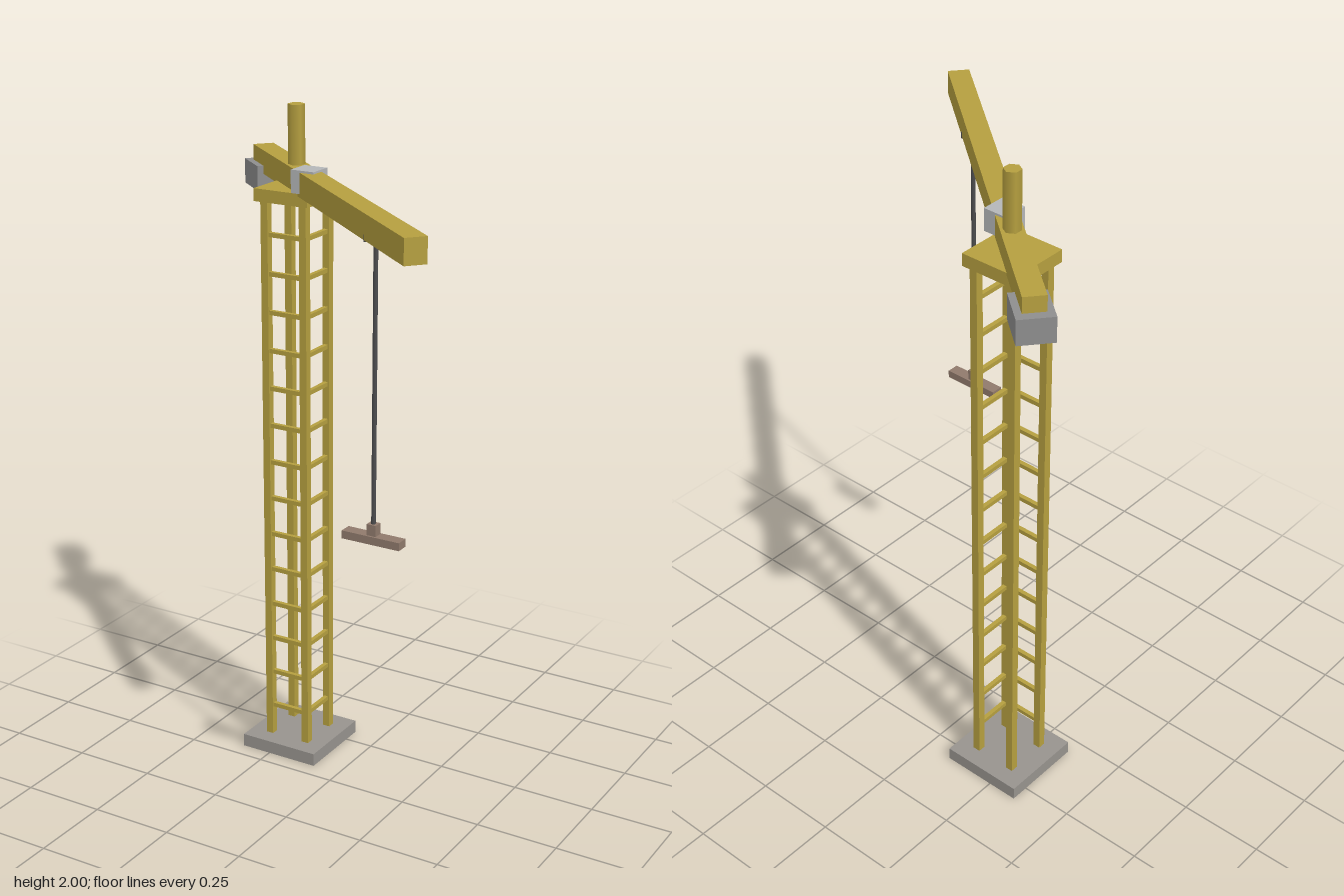
import * as THREE from 'three';

const paint = (name, color) => {
  const m = new THREE.MeshStandardMaterial({ color });
  m.name = name;
  return m;
};

export function createModel() {
  const yellow = paint('craneYellow', 0xb59f3f);
  const concrete = paint('concreteGrey', 0x97938e);
  const cabGrey = paint('cabGrey', 0xb4b6b8);
  const ballast = paint('ballastGrey', 0x8e8e8e);
  const steel = paint('darkSteel', 0x4c4c4e);
  const brown = paint('loadBrown', 0x907a6c);

  const model = new THREE.Group();
  model.name = 'towerCrane';

  const add = (parent, name, geometry, material, x, y, z) => {
    const mesh = new THREE.Mesh(geometry, material);
    mesh.name = name;
    mesh.position.set(x, y, z);
    parent.add(mesh);
    return mesh;
  };
  // Box given by its bottom and top heights
  const box = (parent, name, material, w, d, y0, y1, x = 0, z = 0) =>
    add(parent, name, new THREE.BoxGeometry(w, y1 - y0, d), material, x, (y0 + y1) / 2, z);

  // Tower, standing off-centre
  const tower = new THREE.Group();
  tower.name = 'tower';
  tower.position.set(-0.216, 0, -0.178);
  model.add(tower);

  box(tower, 'base', concrete, 0.255, 0.255, 0, 0.04);
  const off = 0.064;
  for (const sx of [-1, 1])
    for (const sz of [-1, 1])
      box(tower, 'towerLeg', yellow, 0.023, 0.023, 0.04, 1.735, sx * off, sz * off);

  // Rungs on the front and left faces only
  for (let i = 0; i < 14; i++) {
    const y = 0.138 + i * 0.115;
    box(tower, 'frontRung', yellow, off * 2, 0.013, y - 0.0065, y + 0.0065, 0, off);
    box(tower, 'sideRung', yellow, 0.013, off * 2, y - 0.0065, y + 0.0065, off, 0);
  }
  box(tower, 'slewPlatform', yellow, 0.178, 0.178, 1.73, 1.767);
  add(tower, 'topPost', new THREE.CylinderGeometry(0.0245, 0.0245, 0.22, 6), yellow, 0, 1.89, 0);

  // Turned arm with counterweight
  const arm = new THREE.Group();
  arm.name = 'arm';
  arm.rotation.y = -THREE.MathUtils.degToRad(40.05);
  tower.add(arm);
  box(arm, 'jib', yellow, 1.241, 0.062, 1.76, 1.83, 0.302);
  box(arm, 'counterweight', ballast, 0.125, 0.1, 1.711, 1.784, -0.282);

  // Operator cab, square to the tower
  box(tower, 'cab', cabGrey, 0.074, 0.074, 1.77, 1.836, 0.08, 0.064);

  // Trolley, cable and hanging load
  const hoist = new THREE.Group();
  hoist.name = 'hoist';
  hoist.position.set(0.278, 0, 0.236);
  model.add(hoist);
  box(hoist, 'trolley', steel, 0.047, 0.047, 1.756, 1.775);
  add(hoist, 'cable', new THREE.CylinderGeometry(0.0065, 0.0065, 0.79, 8), steel, 0, 1.37, 0);
  box(hoist, 'hookBlock', brown, 0.028, 0.026, 0.945, 0.98);
  box(hoist, 'loadBeam', brown, 0.177, 0.037, 0.925, 0.948);

  return model;
}
